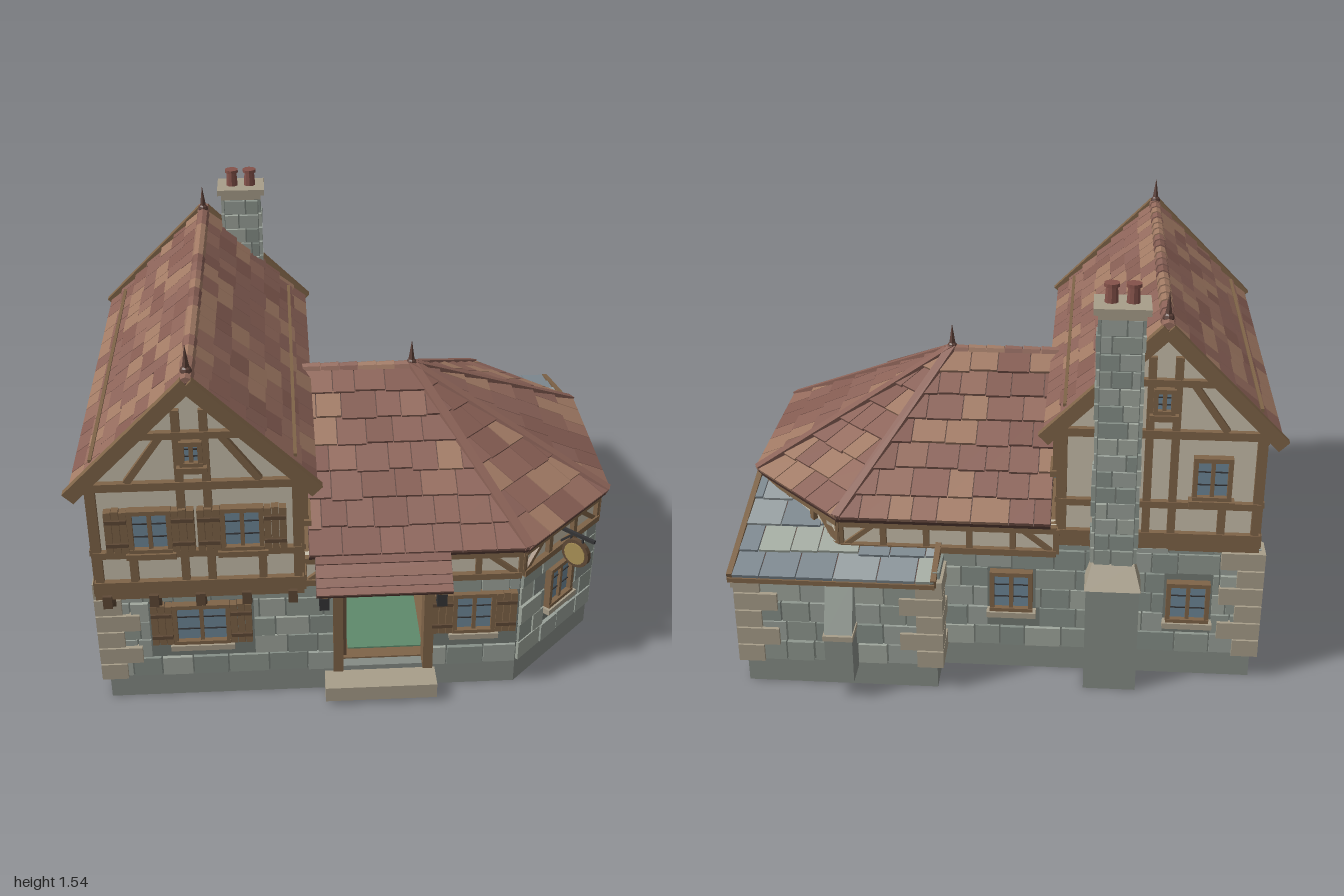
import * as THREE from 'three';
import { mergeGeometries } from 'three/addons/utils/BufferGeometryUtils.js';

const WOOD = 0x7f6448, DARKWOOD = 0x5f4936, PLASTER = 0xc9c0ac, GLASS = 0x6e8798, IRON = 0x343436;
const MORTAR = 0x737a74, PLINTH = 0x868c86, TAN = 0xa89e8a, REDDARK = 0x5c4038;
const STONES = [0x8f988f, 0x99a199, 0x868f88, 0xa0a79d];
const TILES = [0x8c6358, 0x845c52, 0x946b5d, 0x8a6258, 0xa17a64];
const SLATES = [0x8b959a, 0x98a1a3, 0xa6aea4, 0x7f8a91];

let seed = 7;
const rnd = () => (seed = (seed * 16807) % 2147483647) / 2147483647;
const pick = (list) => list[Math.floor(rnd() * list.length)];
const V = (x, y, z) => new THREE.Vector3(x, y, z);
const clamp = THREE.MathUtils.clamp;
const mats = {};
const material = (c) => (mats[c] ??= new THREE.MeshStandardMaterial({ color: c, flatShading: true }));

// Wall frame: local x runs along the wall, y up, z outward
const frame = (x, z, ry) => new THREE.Matrix4().makeRotationY(ry).setPosition(x, 0, z);

// Eight-cornered block: four base corners, then the four above them
function hexa(p) {
  const g = new THREE.BufferGeometry().setFromPoints(p);
  g.setIndex([[4, 5, 6, 7], [3, 2, 1, 0], [0, 1, 5, 4], [1, 2, 6, 5], [2, 3, 7, 6], [3, 0, 4, 7]]
    .flatMap(([a, b, c, d]) => [a, b, c, a, c, d]));
  return g;
}
// Plan outline of [x, z] points raised from y0 to y1
function plan(pts, y0, y1) {
  const s = new THREE.Shape(pts.map(([x, z]) => new THREE.Vector2(x, -z)));
  return new THREE.ExtrudeGeometry(s, { depth: y1 - y0, bevelEnabled: false }).rotateX(-Math.PI / 2).translate(0, y0, 0);
}

// Collects pieces of one named part, merged by colour
class Part {
  constructor(parent, name, m = new THREE.Matrix4()) { Object.assign(this, { parent, name, m, bins: {} }); }
  add(color, geo) {
    const g = geo.index ? geo.toNonIndexed() : geo;
    g.deleteAttribute('uv');
    g.deleteAttribute('normal');
    g.applyMatrix4(this.m).computeVertexNormals();
    (this.bins[color] ??= []).push(g);
  }
  box(color, x0, x1, y0, y1, z0, z1) {
    this.add(color, new THREE.BoxGeometry(x1 - x0, y1 - y0, z1 - z0).translate((x0 + x1) / 2, (y0 + y1) / 2, (z0 + z1) / 2));
  }
  beam(color, a, b, w, h = w) {
    const o = new THREE.Object3D(), p = V(...a), q = V(...b);
    o.position.copy(p).lerp(q, 0.5);
    o.lookAt(q);
    o.updateMatrix();
    this.add(color, new THREE.BoxGeometry(w, h, p.distanceTo(q)).applyMatrix4(o.matrix));
  }
  done() {
    const g = new THREE.Group();
    g.name = this.name;
    for (const c in this.bins) {
      const mesh = new THREE.Mesh(mergeGeometries(this.bins[c]), material(Number(c)));
      mesh.name = this.name;
      g.add(mesh);
    }
    this.parent.add(g);
  }
}

// Coursed stone blocks on a wall, leaving out [u0, u1, y0, y1] holes
function stones(p, u0, u1, y0, top, holes = [], h = 0.083, w = 0.09) {
  for (let y = y0, row = 0; y < 0.02 + top((u0 + u1) / 2) || y < top(u0); y += h, row++) {
    for (let u = u0, next; u < u1 - 0.005; u = next) {
      next = u + w + rnd() * w * 0.8 - (u === u0 && row % 2 ? w * 0.4 : 0);
      if (next > u1 - w * 0.4) next = u1;
      const y1 = Math.min(y + h, top((u + next) / 2));
      if (y1 - y < 0.02) continue;
      let segs = [[u, next]];
      for (const [a, b, c, d] of holes) if (y + 0.01 < d && y1 - 0.01 > c)
        segs = segs.flatMap(([s, e]) => (e <= a || s >= b ? [[s, e]] : [[s, a], [b, e]].filter((k) => k[1] - k[0] > 0.02)));
      for (const [s, e] of segs) p.box(pick(STONES), s + 0.003, e - 0.003, y + 0.003, y1 - 0.003, -0.01, 0.008 + rnd() * 0.008);
    }
  }
}

// Lapped tiles over the slope A-B (eave) to D-C (top), corners counter-clockwise from outside
function tiled(p, A, B, C, D, rows, tw, colors, t = 0.016) {
  const e = B.clone().sub(A).normalize(), n = e.clone().cross(D.clone().sub(A)).normalize();
  const up = n.clone().cross(e);
  const at = (s, h, o) => A.clone().addScaledVector(e, s).addScaledVector(up, h).addScaledVector(n, o);
  const height = D.clone().sub(A).dot(up), sB = B.clone().sub(A).dot(e), sC = C.clone().sub(A).dot(e), sD = D.clone().sub(A).dot(e);
  p.add(REDDARK, hexa([...[A, B, C, D].map((q) => q.clone().addScaledVector(n, -0.02)), A.clone(), B.clone(), C.clone(), D.clone()]));
  for (let i = 0; i < rows; i++) {
    const v0 = i / rows, v1 = (i + 1) / rows, l0 = sD * v0, l1 = sD * v1;
    const r0 = sB + (sC - sB) * v0, r1 = sB + (sC - sB) * v1;
    for (let s = l0, next; s < r0 - 0.002; s = next) {
      next = s + tw * (0.75 + rnd() * 0.5) - (s === l0 && i % 2 ? tw * 0.4 : 0);
      if (next > r0 - tw * 0.35) next = r0;
      const b = height * v0 - (i ? rnd() * 0.014 : 0), c = height * v1, a = s + 0.002, d = next - 0.002;
      const ta = clamp(a, l1, r1), td = clamp(d, l1, r1);
      p.add(pick(colors), hexa([at(a, b, 0), at(d, b, 0), at(td, c, 0), at(ta, c, 0),
        at(a, b, t), at(d, b, t), at(td, c, t * 0.25), at(ta, c, t * 0.25)]));
    }
  }
}

// Leaded window centred at u, y, with optional plank shutters and stone sill
function windowAt(p, u, y, w, h, shutters = false, sill = TAN) {
  const a = w / 2, b = h / 2, f = 0.016;
  p.box(GLASS, u - a, u + a, y - b, y + b, -0.01, 0.012);
  for (const s of [-1, 1]) {
    p.box(WOOD, u + s * a - f / 2, u + s * a + f / 2, y - b, y + b, -0.01, 0.03);
    p.box(WOOD, u - a - f / 2, u + a + f / 2, y + s * b - f / 2, y + s * b + f / 2, -0.01, 0.032);
    p.box(IRON, u - a, u + a, y + s * b * 0.33 - 0.002, y + s * b * 0.33 + 0.002, 0, 0.016);
    if (!shutters) continue;
    const c = u + s * (a + 0.047);
    for (let k = -1; k < 2; k++) p.box(WOOD, c + k * 0.026 - 0.012, c + k * 0.026 + 0.012, y - b - 0.005, y + b + 0.005 + (k ? 0 : 0.004), 0, 0.03);
    for (const q of [-0.6, 0.6]) p.box(DARKWOOD, c - 0.037, c + 0.037, y + q * b - 0.007, y + q * b + 0.007, 0.02, 0.037);
  }
  p.box(WOOD, u - 0.007, u + 0.007, y - b, y + b, 0, 0.024);
  p.box(sill, u - a - 0.02, u + a + 0.02, y - b - 0.028, y - b - 0.006, -0.01, 0.04);
}

export function createModel() {
  const root = new THREE.Group();
  root.name = 'cottage';
  const H = Math.PI / 2;
  const part = (name, m, fn) => { const p = new Part(root, name, m); fn(p); p.done(); };
  const world = new THREE.Matrix4();

  part('plinth', world, (p) => {
    p.add(PLINTH, plan([[-0.96, 0.75], [0.54, 0.75], [0.88, 0.41], [0.88, -0.77], [0.18, -0.77], [0.18, -0.62], [-0.96, -0.62]], 0, 0.1));
    p.box(TAN, -0.17, 0.24, 0.02, 0.08, 0.74, 0.85);
  });

  // Ground-floor walls: frame, extent, top height, windows [u, y, w, h, shutters]
  const shedTop = (u) => 0.575 - Math.max(0, u - 0.28) * 0.27;
  const walls = [
    ['frontWall', frame(0, 0.75, 0), -0.96, 0.54, (u) => (u < -0.24 ? 0.54 : 0.5), [[-0.61, 0.34, 0.19, 0.16, true], [0.375, 0.345, 0.14, 0.16, true]]],
    ['cornerWall', frame(0.71, 0.58, H / 2), -0.24, 0.24, () => 0.5, [[0, 0.345, 0.14, 0.16]]],
    ['endWall', frame(0.88, 0, H), -0.41, 0.77, (u) => (u < 0.28 ? 0.5 : shedTop(u)), []],
    ['shedBackWall', frame(0, -0.77, 2 * H), -0.88, -0.18, () => 0.44, []],
    ['shedSideWall', frame(0.18, 0, -H), -0.77, -0.6, (u) => 0.47 + (u + 0.77) * 0.2, []],
    ['backWall', frame(0, -0.62, 2 * H), -0.18, 0.96, (u) => (u < 0.24 ? 0.5 : 0.54), [[0.08, 0.34, 0.14, 0.15], [0.72, 0.32, 0.14, 0.15]]],
    ['sideWall', frame(-0.96, 0, -H), -0.62, 0.75, () => 0.54, [[-0.33, 0.34, 0.15, 0.16, true], [0.28, 0.34, 0.15, 0.16, true]]],
  ];
  for (const [name, m, u0, u1, top, wins] of walls) part(name, m, (p) => {
    const holes = wins.map(([u, y, w, h, s]) => [u - w / 2 - (s ? 0.09 : 0.015), u + w / 2 + (s ? 0.09 : 0.015), y - h / 2 - 0.03, y + h / 2 + 0.01]);
    if (name === 'frontWall') {
      holes.push([-0.135, 0.225, 0.1, 0.5]);
      p.box(MORTAR, u0, -0.13, 0.1, 0.5, -0.04, 0);
      p.box(MORTAR, 0.22, u1, 0.1, 0.5, -0.04, 0);
    } else if (name === 'backWall' || name === 'cornerWall') p.box(MORTAR, u0, u1, 0.1, 0.5, -0.04, 0);
    else if (name === 'endWall') p.box(MORTAR, u0, 0.3, 0.1, 0.5, -0.04, 0);
    stones(p, u0, u1, 0.1, top, holes);
    wins.forEach((w) => windowAt(p, ...w));
  });
  part('wallCores', world, (p) => {
    p.box(MORTAR, -0.957, -0.24, 0.1, 0.56, -0.617, 0.747);
    const q = (y0, y1) => [V(0.183, y0, -0.28), V(0.877, y0, -0.28), V(0.877, y1, -0.767), V(0.183, y1, -0.767)];
    const base = q(0.1, 0.1), roof = q(0.59, 0.455);
    p.add(MORTAR, hexa([...base, ...roof]));
  });

  // Corner stones, long and short in turn
  part('quoins', world, (p) => {
    for (const [x, z, sx, sz, rows] of [[-0.96, 0.75, -1, 1, 6], [-0.96, -0.62, -1, -1, 6], [0.88, -0.77, 1, -1, 5], [0.18, -0.77, -1, -1, 5]])
      for (let i = 0; i < rows; i++) {
        const long = i % 2, X = [x + sx * 0.025, x - sx * (long ? 0.13 : 0.07)].sort((a, b) => a - b);
        const Z = [z + sz * 0.025, z - sz * (long ? 0.07 : 0.13)].sort((a, b) => a - b);
        p.box(TAN, ...X, 0.1 + i * 0.073, 0.167 + i * 0.073, ...Z);
      }
  });
  for (const [m, u] of [[frame(0.88, 0, H), 0.5], [frame(0, -0.77, 2 * H), -0.52]]) part('buttress', m, (p) => {
    const l = u - 0.05, r = u + 0.05;
    p.box(PLINTH, l, r, 0.08, 0.27, -0.01, 0.1);
    p.box(TAN, l - 0.004, r + 0.004, 0.255, 0.275, -0.01, 0.11);
    p.add(STONES[1], hexa([V(l, 0.27, 0.1), V(r, 0.27, 0.1), V(r, 0.27, -0.01), V(l, 0.27, -0.01),
      V(l, 0.46, 0.025), V(r, 0.46, 0.025), V(r, 0.46, -0.01), V(l, 0.46, -0.01)]));
  });

  // Timbered band under the low roof
  for (const [m, u0, u1] of [[walls[0][1], -0.24, 0.54], [walls[1][1], -0.24, 0.24], [walls[2][1], -0.41, 0.27], [frame(0.71, -0.45, 1.5 * H), -0.24, 0.24], [walls[5][1], -0.54, 0.24]])
    part('timberBand', m, (p) => {
      p.box(PLASTER, u0, u1, 0.5, 0.61, -0.03, 0);
      p.box(WOOD, u0, u1, 0.49, 0.515, -0.03, 0.022);
      p.box(WOOD, u0, u1, 0.585, 0.61, -0.03, 0.022);
      const n = Math.round((u1 - u0) / 0.16);
      for (let i = 0; i <= n; i++) {
        const u = u0 + ((u1 - u0) * i) / n;
        p.box(WOOD, u - 0.011, u + 0.011, 0.5, 0.6, 0, 0.018);
      }
      for (const s of [-1, 1]) {
        const c = s < 0 ? u0 : u1;
        p.beam(WOOD, [c - s * 0.02, 0.51, 0.006], [c - s * 0.12, 0.59, 0.006], 0.018);
      }
      if (m === walls[2][1]) windowAt(p, -0.07, 0.55, 0.17, 0.06, false, WOOD);
    });

  // Doorway, half-open leaf and room behind
  part('doorway', world, (p) => {
    for (const x of [-0.12, 0.21]) p.box(WOOD, x - 0.018, x + 0.018, 0.1, 0.5, 0.7, 0.78);
    p.box(WOOD, -0.138, 0.228, 0.475, 0.51, 0.7, 0.78);
    for (let i = 0; i < 4; i++) p.box(DARKWOOD, -0.105, -0.085, 0.105, 0.47, 0.46 + i * 0.06, 0.515 + i * 0.06);
  });
  part('interior', world, (p) => {
    p.box(PLASTER, -0.24, 0.6, 0.1, 0.6, -0.58, -0.56);
    p.box(WOOD, -0.24, 0.5, 0.1, 0.106, -0.56, 0.71);
    p.box(0x5f8a6c, -0.08, 0.2, 0.106, 0.112, 0.25, 0.66);
    p.box(WOOD, -0.1, 0.3, 0.1, 0.26, -0.1, 0.02);
    p.box(DARKWOOD, -0.12, 0.32, 0.26, 0.275, -0.12, 0.04);
  });
  part('doorCanopy', world, (p) => {
    tiled(p, V(-0.2, 0.53, 0.89), V(0.28, 0.53, 0.89), V(0.28, 0.625, 0.77), V(-0.2, 0.625, 0.77), 4, 1, TILES);
    for (const x of [-0.17, 0.25]) {
      p.beam(WOOD, [x, 0.42, 0.755], [x, 0.53, 0.87], 0.022);
      p.beam(WOOD, [x, 0.525, 0.75], [x, 0.525, 0.88], 0.022);
      p.box(IRON, x - 0.018, x + 0.018, 0.42, 0.47, 0.79, 0.825);
    }
  });

  // Upper storey, jettied to the front
  part('upperStorey', world, (p) => {
    const s = new THREE.Shape([[-0.95, 0.54], [-0.25, 0.54], [-0.25, 0.99], [-0.6, 1.345], [-0.95, 0.99]].map((a) => new THREE.Vector2(...a)));
    p.add(PLASTER, new THREE.ExtrudeGeometry(s, { depth: 1.45, bevelEnabled: false }).translate(0, 0, -0.61));
  });
  for (const [name, m, c] of [['frontGable', frame(0, 0.84, 0), -0.6], ['backGable', frame(0, -0.61, 2 * H), 0.6]]) part(name, m, (p) => {
    for (const [w, y0, y1] of [[0.36, 0.53, 0.6], [0.355, 0.7, 0.725], [0.355, 0.97, 1], [0.17, 1.165, 1.19]]) p.box(WOOD, c - w, c + w, y0, y1, -0.01, 0.022);
    for (const s of [-1, 1]) {
      for (const [u, top] of [[0.34, 0.99], [0.045, 1.27], [0.22, 0.73]]) p.box(WOOD, c + s * u - 0.014, c + s * u + 0.014, 0.55, top, -0.01, 0.018);
      p.beam(WOOD, [c + s * 0.22, 1, 0.008], [c + s * 0.1, 1.17, 0.008], 0.024, 0.024);
      p.beam(WOOD, [c + s * 0.41, 0.965, 0.035], [c, 1.375, 0.035], 0.03, 0.05);
      if (c < 0) windowAt(p, c + s * 0.155, 0.81, 0.13, 0.155, true, WOOD);
    }
    if (c > 0) windowAt(p, 0.78, 0.82, 0.12, 0.15, false, WOOD);
    else for (let i = 0; i < 5; i++) {
      const u = -0.92 + i * 0.16;
      p.beam(DARKWOOD, [u, 0.43, -0.085], [u, 0.53, -0.005], 0.028);
      p.box(DARKWOOD, u - 0.016, u + 0.016, 0.5, 0.55, -0.1, 0.035);
    }
    windowAt(p, c, 1.11, 0.06, 0.08, false, WOOD);
  });
  for (const [name, m, s, wins] of [['innerSideFraming', frame(-0.25, 0, H), -1, [0.7, -0.44]], ['outerSideFraming', frame(-0.95, 0, -H), 1, [-0.33, 0.28]]])
    part(name, m, (p) => {
      const a = s < 0 ? -0.84 : -0.61, b = s < 0 ? 0.61 : 0.84;
      for (const [y0, y1] of [[0.53, 0.59], [0.7, 0.722], [0.95, 0.99]]) p.box(WOOD, a, b, y0, y1, -0.01, 0.018);
      for (const z of [-0.595, -0.53, -0.35, -0.23, -0.05, 0.13, 0.38, 0.58, 0.77, 0.825])
        if (wins.every((w) => Math.abs(w - z) > 0.06)) p.box(WOOD, s * z - 0.014, s * z + 0.014, 0.55, 0.97, -0.01, 0.014);
      for (const [z0, z1] of [[-0.22, -0.06], [0.57, 0.4]]) p.beam(WOOD, [s * z0, 0.6, 0.004], [s * z1, 0.7, 0.004], 0.02);
      wins.forEach((z) => windowAt(p, s * z, 0.84, 0.1, 0.13, false, WOOD));
    });

  // Roofs
  part('tallRoof', world, (p) => {
    const f = 0.88, b = -0.65;
    tiled(p, V(-0.2, 0.97, f), V(-0.2, 0.97, b), V(-0.6, 1.38, b), V(-0.6, 1.38, f), 7, 0.11, TILES);
    tiled(p, V(-1, 0.97, b), V(-1, 0.97, f), V(-0.6, 1.38, f), V(-0.6, 1.38, b), 7, 0.11, TILES);
    for (let i = 0; i < 20; i++) p.add(pick(TILES), new THREE.CylinderGeometry(0.022, 0.026, 0.073, 8).rotateX(H).translate(-0.6, 1.378, b + 0.04 + i * 0.0763));
    for (const x of [-0.26, -0.94]) p.beam(WOOD, [x, 1.055, -0.56], [x, 1.055, 0.8], 0.012);
  });
  part('lowRoof', world, (p) => {
    const P = V(0.2, 1, 0.07), W = V(-0.22, 1, 0.07);
    const eave = [[-0.22, 0.78], [0.56, 0.78], [0.92, 0.42], [0.92, -0.29], [0.55, -0.65], [-0.22, -0.65]];
    const E = eave.map(([x, z]) => V(x, 0.62, z));
    p.add(WOOD, plan(eave.map(([x, z]) => [x * 0.985, z * 0.985]), 0.595, 0.615));
    for (let i = 0; i < 5; i++) tiled(p, E[i], E[i + 1], i === 4 ? W : P, i === 0 ? W : P, 7, 0.11, TILES);
    for (let i = 1; i < 5; i++) p.beam(TILES[0], [E[i].x, 0.63, E[i].z], [0.2, 1.008, 0.07], 0.035, 0.022);
    for (let i = 0; i < 6; i++) p.add(pick(TILES), new THREE.CylinderGeometry(0.02, 0.024, 0.068, 8).rotateZ(H).translate(-0.185 + i * 0.071, 0.995, 0.07));
  });
  part('shedRoof', world, (p) => {
    tiled(p, V(0.92, 0.455, -0.8), V(0.18, 0.455, -0.8), V(0.18, 0.6, -0.28), V(0.92, 0.6, -0.28), 4, 0.13, SLATES, 0.014);
    for (const x of [0.185, 0.912]) p.beam(WOOD, [x, 0.455, -0.8], [x, 0.6, -0.28], 0.02, 0.035);
    p.beam(WOOD, [0.18, 0.447, -0.798], [0.92, 0.447, -0.798], 0.018);
  });
  part('finials', world, (p) => {
    for (const [x, y, z] of [[-0.6, 1.385, 0.83], [-0.6, 1.385, -0.59], [0.2, 0.995, 0.07]]) {
      p.add(REDDARK, new THREE.ConeGeometry(0.016, 0.1, 6).translate(x, y + 0.06, z));
      p.add(REDDARK, new THREE.SphereGeometry(0.02, 8, 6).translate(x, y + 0.015, z));
    }
  });

  // Chimney with shoulder, cap and two pots
  part('chimney', world, (p) => {
    p.box(MORTAR, -0.515, -0.375, 0.4, 1.45, -0.69, -0.6);
    p.box(PLINTH, -0.54, -0.35, 0, 0.42, -0.74, -0.6);
    const q = (a, y, z) => [V(-0.445 - a, y, -0.6), V(-0.445 + a, y, -0.6), V(-0.445 + a, y, z), V(-0.445 - a, y, z)];
    p.add(TAN, hexa([...q(0.1, 0.42, -0.75), ...q(0.075, 0.5, -0.69)]));
    p.box(TAN, -0.54, -0.35, 1.452, 1.475, -0.73, -0.585);
    p.box(TAN, -0.525, -0.365, 1.43, 1.452, -0.71, -0.595);
    for (const x of [-0.48, -0.408]) {
      p.add(0x85524a, new THREE.CylinderGeometry(0.02, 0.024, 0.065, 10).translate(x, 1.505, -0.655));
      p.add(0x85524a, new THREE.CylinderGeometry(0.027, 0.027, 0.012, 10).translate(x, 1.535, -0.655));
    }
  });
  for (const [m, a, b] of [[frame(0, -0.69, 2 * H), 0.375, 0.515], [frame(-0.375, 0, H), 0.6, 0.69], [frame(-0.515, 0, -H), -0.69, -0.6], [frame(0, -0.6, 0), -0.515, -0.375]])
    part('chimneyStones', m, (p) => stones(p, a, b, 0.5, () => 1.43, [], 0.062, 0.06));

  // Round hanging sign on an iron arm
  part('hangingSign', walls[1][1], (p) => {
    p.beam(IRON, [0, 0.575, 0], [0, 0.575, 0.15], 0.012);
    p.beam(IRON, [0, 0.52, 0.01], [0, 0.572, 0.06], 0.008);
    for (const z of [0.05, 0.1]) p.beam(IRON, [0, 0.54, z], [0, 0.575, z], 0.006);
    p.add(DARKWOOD, new THREE.CylinderGeometry(0.058, 0.058, 0.018, 16).rotateZ(H).translate(0, 0.497, 0.077));
    p.add(0xa88f55, new THREE.CylinderGeometry(0.044, 0.044, 0.026, 16).rotateZ(H).translate(0, 0.497, 0.077));
  });
  return root;
}
